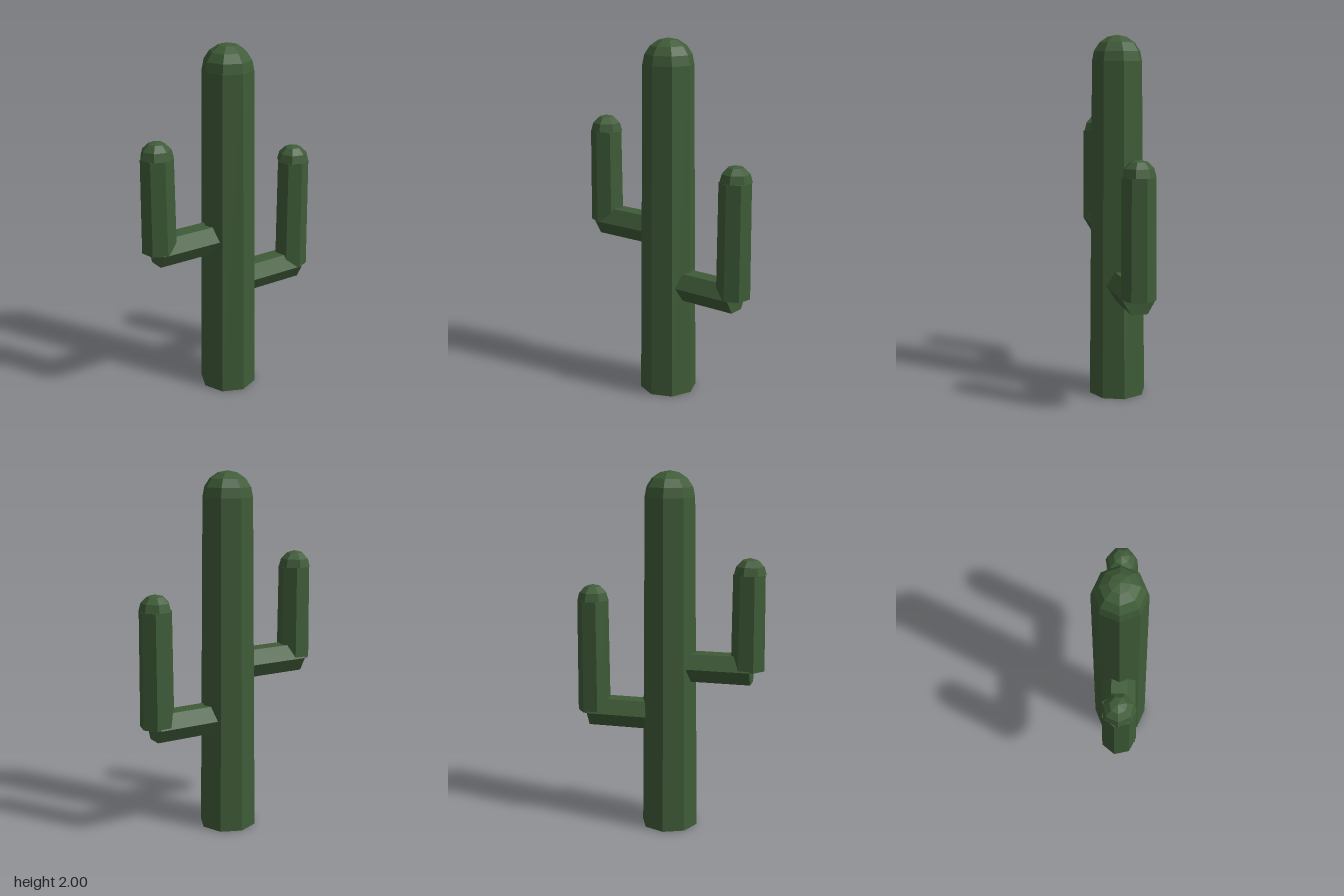
import * as THREE from 'three';

export function createModel() {
  const green = new THREE.MeshStandardMaterial({ color: 0x3f5c38, flatShading: true });
  green.name = 'cactusGreen';

  const add = (parent, name, geometry, x, y) => {
    const mesh = new THREE.Mesh(geometry, green);
    mesh.name = name;
    mesh.position.set(x, y, 0);
    parent.add(mesh);
    return mesh;
  };

  // Tapered upright column closed by a half-sphere tip
  const column = (parent, name, x, y, height, rTop, rBottom, sides, rings) => {
    add(parent, name, new THREE.CylinderGeometry(rTop, rBottom, height, sides), x, y + height / 2);
    add(parent, name + 'Tip',
      new THREE.SphereGeometry(rTop, sides, rings, 0, Math.PI * 2, 0, Math.PI / 2), x, y + height);
  };

  const cactus = new THREE.Group();
  cactus.name = 'cactus';
  column(cactus, 'trunk', 0, 0, 1.86, 0.14, 0.16, 8, 4);

  // Each arm: a hexagonal branch out of the trunk and an upright column
  const arm = (name, side, y, height) => {
    const group = new THREE.Group();
    group.name = name;
    const inner = 0.1, outer = 0.463;
    const branch = add(group, name + 'Branch',
      new THREE.CylinderGeometry(0.09, 0.09, outer - inner, 6), side * (inner + outer) / 2, y);
    branch.rotation.z = -side * Math.PI / 2;
    column(group, name + 'Upright', side * 0.443, y, height, 0.09, 0.095, 7, 3);
    cactus.add(group);
  };
  arm('leftArm', 1, 0.643, 0.637);
  arm('rightArm', -1, 0.933, 0.522);

  return cactus;
}
